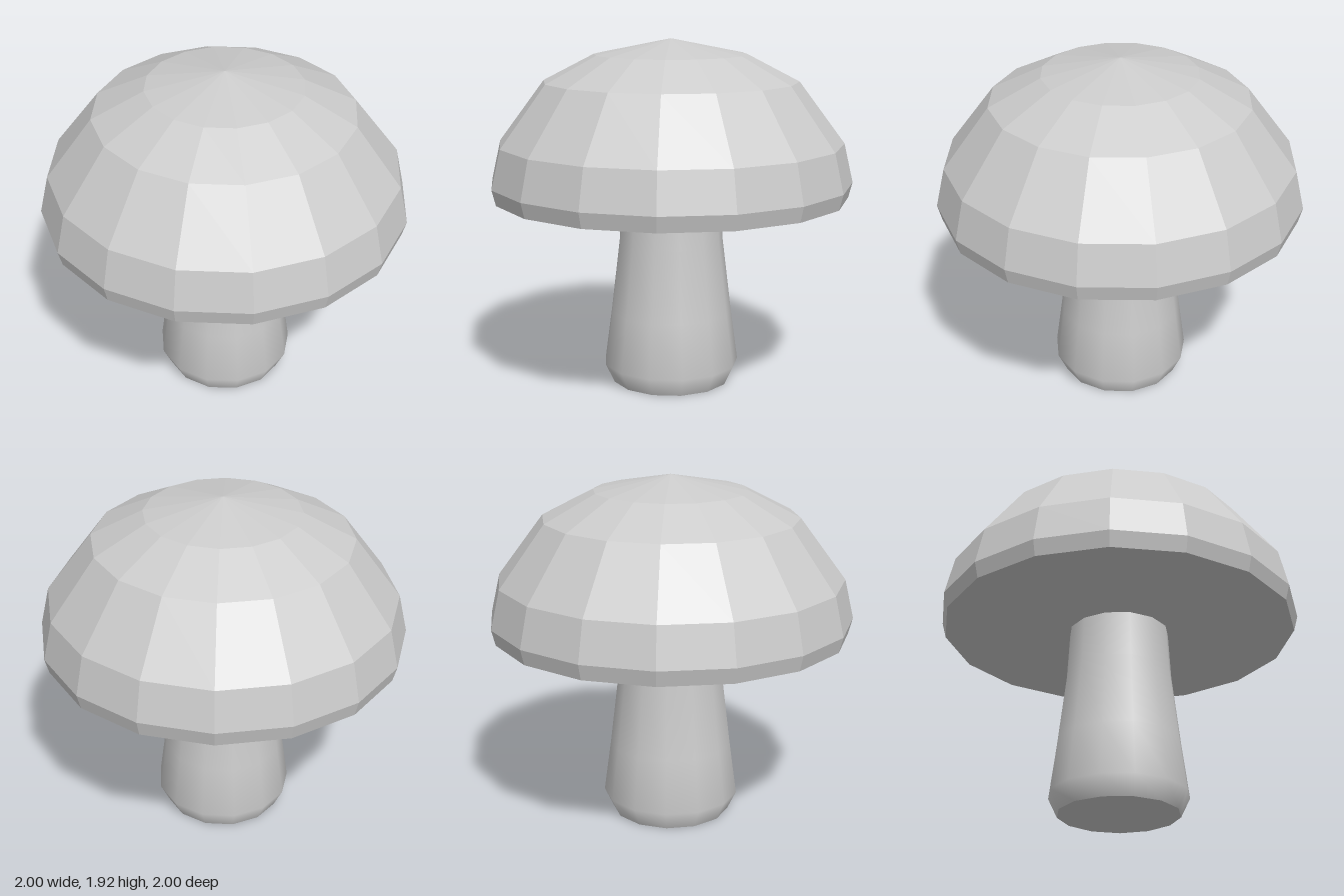
import * as THREE from 'three';

// Revolve a [radius, height] profile, listed from bottom to top
function revolve(profile, sides, start = 0) {
  const points = profile.map(([r, y]) => new THREE.Vector2(r, y));
  return new THREE.LatheGeometry(points, sides, start);
}

export function createModel() {
  const model = new THREE.Group();
  model.name = 'mushroom';

  const faceted = new THREE.MeshStandardMaterial({ color: 0xcccccc, flatShading: true });
  const smooth = new THREE.MeshStandardMaterial({ color: 0xcccccc });

  const add = (name, geometry, material) => {
    const mesh = new THREE.Mesh(geometry, material);
    mesh.name = name;
    model.add(mesh);
    return mesh;
  };

  // Faceted cap with a flat underside
  add('cap', revolve([
    [0, 1.055], [0.978, 1.055], [1, 1.14], [0.95, 1.355],
    [0.7, 1.69], [0.42, 1.835], [0, 1.92],
  ], 16), faceted);

  // Smooth stem, swelling towards the foot
  const stemSides = 13;
  const footRadius = 0.33;
  add('stem', revolve([
    [footRadius, 0], [0.38, 0.105], [0.34, 0.4], [0.292, 0.8], [0.277, 1.06],
  ], stemSides, -Math.PI / 2), smooth);

  // Flat foot closing the stem, facing down
  add('stemBase', new THREE.CircleGeometry(footRadius, stemSides, Math.PI).rotateX(Math.PI / 2), smooth);

  return model;
}
